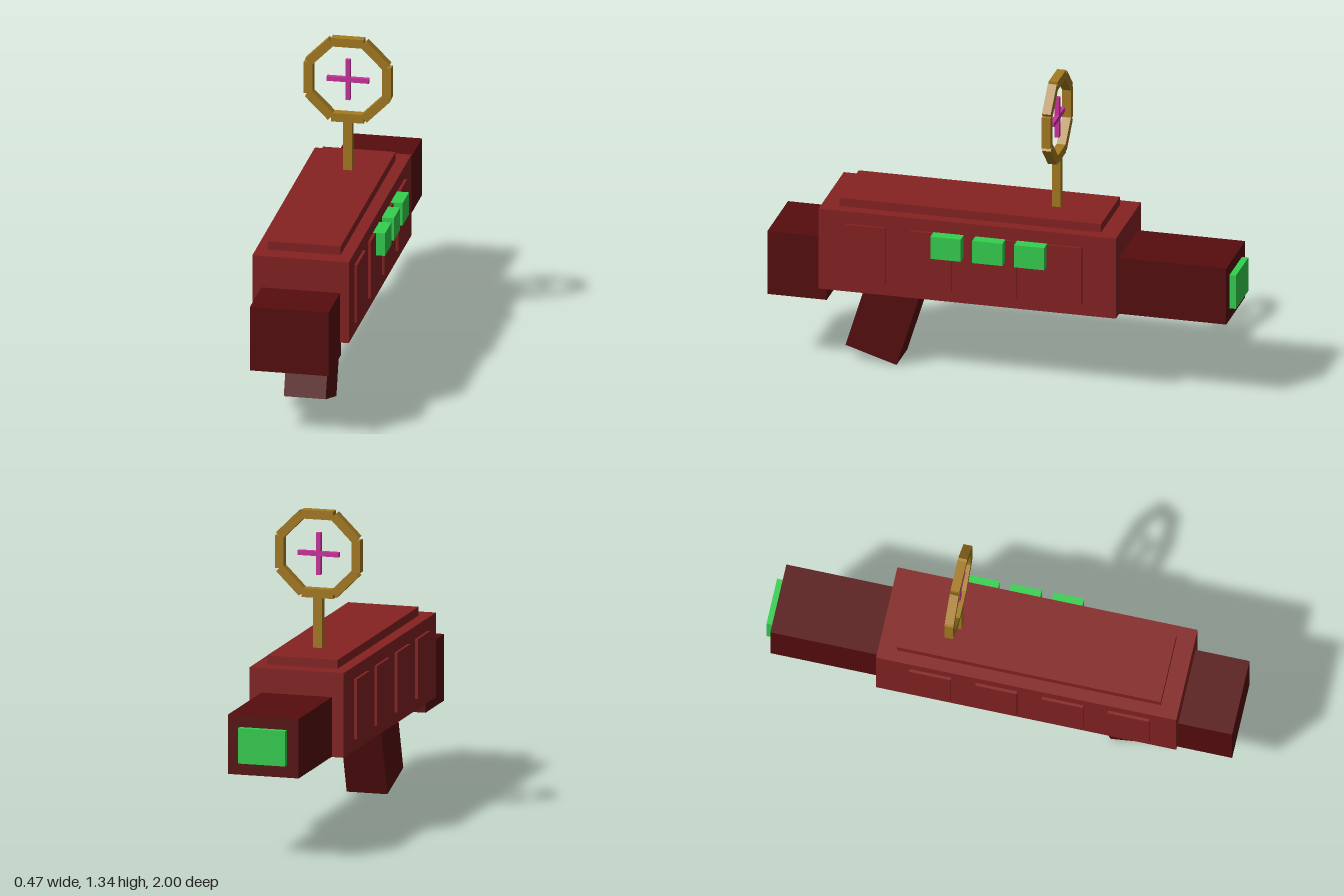
import * as THREE from 'three';

const mat = (name, color) => {
  const m = new THREE.MeshStandardMaterial({ color });
  m.name = name;
  return m;
};

export function createModel() {
  const red = mat('red', 0x852222);
  const darkRed = mat('darkRed', 0x570d0e);
  const green = mat('green', 0x34d050);
  const gold = mat('gold', 0xa67c22);
  const magenta = mat('magenta', 0xcc339f);

  const model = new THREE.Group();
  model.name = 'blaster';
  const CX = -0.02; // centre line, offset by the buttons on the left side

  const box = (parent, name, material, w, h, d, x, y, z) => {
    const mesh = new THREE.Mesh(new THREE.BoxGeometry(w, h, d), material);
    mesh.name = name;
    mesh.position.set(x, y, z);
    parent.add(mesh);
    return mesh;
  };

  // Body with raised top plate
  box(model, 'body', red, 0.41, 0.36, 1.28, CX, 0.54, 0.13);
  box(model, 'topPlate', red, 0.308, 0.06, 1.125, CX, 0.727, 0.13);

  // Raised panels running through to both sides
  for (let i = 0; i < 4; i++) {
    for (const side of [-1, 1]) {
      box(model, 'sidePanel', red, 0.024, 0.255, 0.177,
        CX + side * 0.205, 0.538, 0.568 - i * 0.282);
    }
  }

  // Buttons on the left side
  for (let i = 0; i < 3; i++) {
    box(model, 'button', green, 0.06, 0.1, 0.13, 0.206, 0.617, 0.21 - i * 0.18);
  }

  // Barrel, glowing muzzle and stock
  box(model, 'barrel', darkRed, 0.308, 0.253, 0.5, CX, 0.4885, -0.722);
  box(model, 'muzzle', green, 0.205, 0.15, 0.05, CX, 0.49, -0.975);
  box(model, 'stock', darkRed, 0.334, 0.284, 0.255, CX, 0.438, 0.8725);

  // Slanted grip
  const grip = box(model, 'grip', darkRed, 0.178, 0.4, 0.23, CX, 0.226, 0.516);
  grip.rotation.x = -0.3;

  // Sight: post, eight-sided ring and crosshair
  const sight = new THREE.Group();
  sight.name = 'sight';
  sight.position.set(CX, 1.155, -0.204);
  model.add(sight);
  box(sight, 'sightPost', gold, 0.038, 0.25, 0.036, 0, -0.295, 0);
  for (let i = 0; i < 8; i++) {
    const a = (i * Math.PI) / 4;
    const bar = box(sight, 'ringSegment', gold, 0.038, 0.138, 0.038,
      Math.cos(a) * 0.167, Math.sin(a) * 0.167, 0);
    bar.rotation.z = a;
  }
  box(sight, 'crosshairVertical', magenta, 0.02, 0.179, 0.02, 0, 0, 0);
  box(sight, 'crosshairHorizontal', magenta, 0.179, 0.02, 0.02, 0, 0, 0);

  return model;
}
